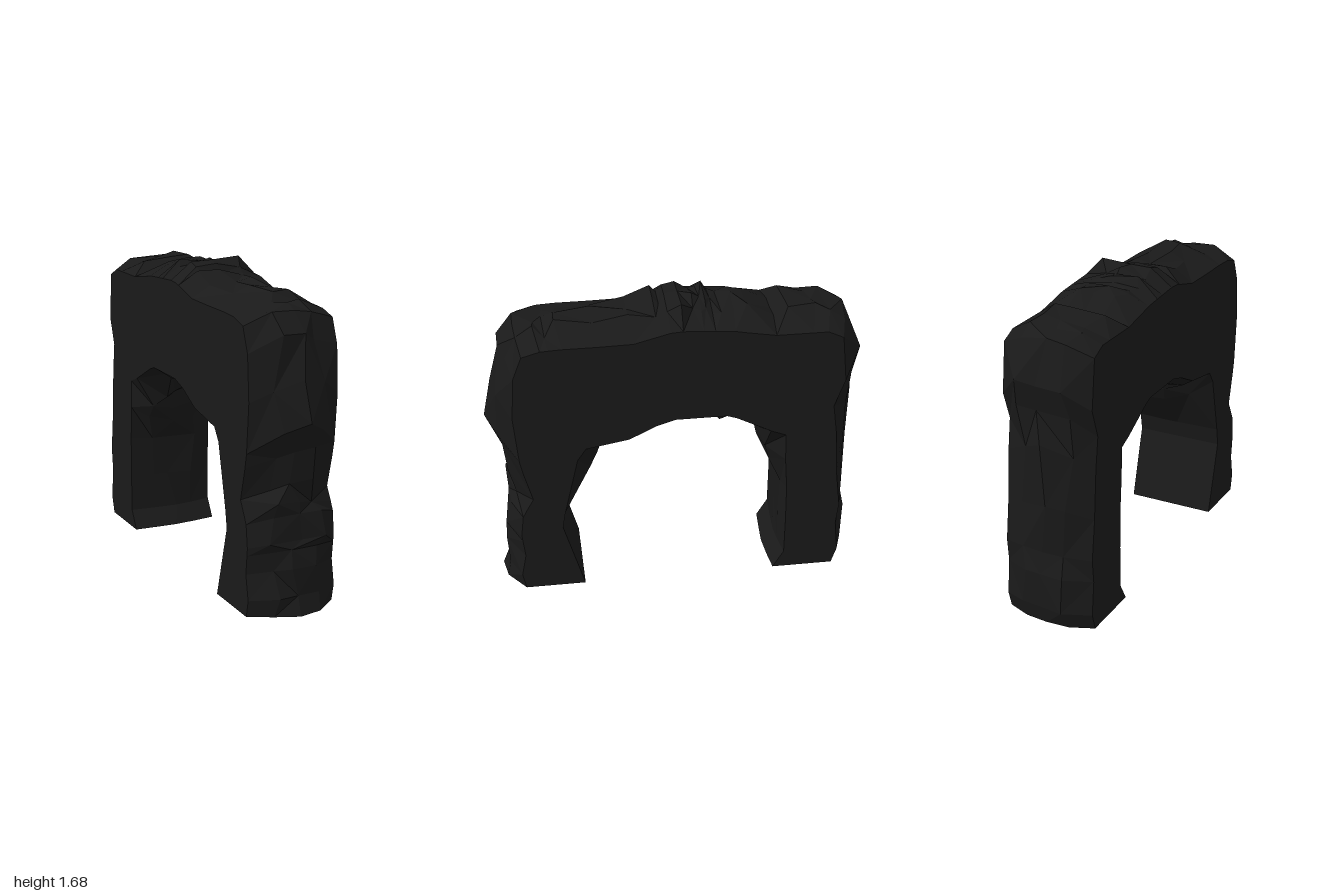
import * as THREE from 'three';

const HALF = 0.25; // half the thickness of the arch
const COLS = [-HALF, -0.125, 0, 0.125, HALF];

// Profiles as flat (z, y) pairs, running from the front foot over the top to the back foot
const OUTER_CREST = [
  0.96, 0, 0.93, 0.1, 0.93, 0.25, 0.915, 0.35, 0.925, 0.4, 0.9, 0.53, 0.91, 0.6, 0.895, 0.7, 0.915, 0.87,
  1, 1.02, 0.955, 1.23, 0.905, 1.45, 0.82, 1.55, 0.72, 1.58, 0.67, 1.565, 0.61, 1.61, 0.42, 1.61,
  0.23, 1.61, 0.09, 1.64, 0.06, 1.62, 0.03, 1.66, -0.04, 1.68, -0.11, 1.67, -0.15, 1.645, -0.18, 1.66,
  -0.21, 1.62, -0.25, 1.61, -0.32, 1.64, -0.39, 1.63, -0.53, 1.555, -0.6, 1.61, -0.75, 1.61,
  -0.82, 1.585, -0.92, 1.56, -1, 1.35, -0.96, 1.2, -1, 1.03, -1, 0.7, -0.975, 0.42, -1, 0.3, -1, 0.1, -0.96, 0];
const OUTER_EDGE = [
  0.84, 0, 0.86, 0.1, 0.83, 0.2, 0.85, 0.4, 0.83, 0.5, 0.77, 0.6, 0.81, 0.75, 0.86, 1, 0.83, 1.45,
  0.76, 1.51, 0.6, 1.52, 0.23, 1.52, 0, 1.58, -0.3, 1.56, -0.5, 1.52, -0.85, 1.52, -0.92, 1.4,
  -0.9, 1.2, -0.82, 0.99, -0.9, 0.85, -0.87, 0.7, -0.93, 0.5, -0.9, 0.2, -0.93, 0.1, -0.9, 0];
const INNER_CREST = [
  0.51, 0, 0.56, 0.2, 0.62, 0.4, 0.6, 0.5, 0.45, 0.7, 0.41, 0.78, 0.37, 0.85, 0.23, 0.89, 0.1, 1,
  0, 1.03, -0.05, 1, -0.1, 0.99, -0.2, 0.99, -0.25, 0.965, -0.31, 0.98, -0.45, 0.82, -0.49, 0.74,
  -0.53, 0.65, -0.6, 0.53, -0.6, 0.3, -0.6, 0.1, -0.54, 0];
const INNER_EDGE = [
  0.51, 0, 0.62, 0.4, 0.6, 0.52, 0.51, 0.9, 0.23, 0.95, 0.1, 1.02, 0, 1.05, -0.3, 1.05, -0.4, 0.98,
  -0.6, 0.9, -0.6, 0.76, -0.62, 0.5, -0.62, 0.1, -0.56, 0];

const toPoints = (flat) =>
  Array.from({ length: flat.length / 2 }, (_, i) => new THREE.Vector2(flat[2 * i], flat[2 * i + 1]));
const angleOf = (p) => Math.atan2(p.y, p.x);

// Point of a profile lying at a given angle about the ground centre
function atAngle(profile, angle) {
  let i = 1;
  while (i < profile.length - 1 && angleOf(profile[i]) < angle) i++;
  const a = angleOf(profile[i - 1]), b = angleOf(profile[i]);
  const t = THREE.MathUtils.clamp((angle - a) / (b - a), 0, 1);
  return profile[i - 1].clone().lerp(profile[i], t);
}

function seeded(seed) {
  return () => {
    seed = (seed * 16807) % 2147483647;
    return seed / 2147483647;
  };
}

// Rows of five points across the thickness, rising from the edge profile to the crest
function makeRows(crestFlat, edgeFlat, seed) {
  const rand = seeded(seed);
  const edge = toPoints(edgeFlat);
  return toPoints(crestFlat).map((crest, i, all) => {
    const end = i === 0 || i === all.length - 1;
    const rim = atAngle(edge, angleOf(crest));
    const peak = 1 + Math.floor(rand() * 3);
    return COLS.map((x, j) => {
      const side = j === 0 || j === COLS.length - 1;
      let rise = side ? 0 : j === 2 ? 0.75 + 0.25 * rand() : 0.45 + 0.45 * rand();
      if (j === (end ? 2 : peak)) rise = 1;
      const p = rim.clone().lerp(crest, rise);
      const shift = side || end ? 0 : (rand() - 0.5) * 0.07;
      return new THREE.Vector3(x + shift, p.y, p.x);
    });
  });
}

function fromTriangles(points) {
  const geometry = new THREE.BufferGeometry().setFromPoints(points);
  geometry.computeVertexNormals();
  return geometry;
}

// Faceted skin over rows of points, with the diagonals alternating
function skin(rows, flip) {
  const out = [];
  const tri = (a, b, c) => (flip ? out.push(a, c, b) : out.push(a, b, c));
  for (let i = 0; i < rows.length - 1; i++) {
    for (let j = 0; j < COLS.length - 1; j++) {
      const a = rows[i][j], b = rows[i][j + 1], c = rows[i + 1][j + 1], d = rows[i + 1][j];
      if ((i + j) % 2) { tri(a, b, c); tri(a, c, d); }
      else { tri(a, b, d); tri(b, c, d); }
    }
  }
  return fromTriangles(out);
}

// Flat wall bounded by one column of the outer and inner rows
function wall(outer, inner, col) {
  const loop = [...outer.map((r) => r[col]), ...inner.map((r) => r[col]).reverse()];
  const faces = THREE.ShapeUtils.triangulateShape(loop.map((p) => new THREE.Vector2(p.z, p.y)), []);
  return fromTriangles(faces.flatMap(([a, b, c]) =>
    (col === 0 ? [a, b, c] : [a, c, b]).map((k) => loop[k])));
}

export function createModel() {
  const model = new THREE.Group();
  model.name = 'rockArch';
  const stone = new THREE.MeshStandardMaterial({ color: 0x1a1a1a, flatShading: true });
  const add = (name, geometry) => {
    const mesh = new THREE.Mesh(geometry, stone);
    mesh.name = name;
    model.add(mesh);
  };

  const outer = makeRows(OUTER_CREST, OUTER_EDGE, 17);
  const inner = makeRows(INNER_CREST, INNER_EDGE, 91);

  // Rough rock on the outside and under the arch
  add('outerRock', skin(outer, false));
  add('innerRock', skin(inner, true));

  // Flat cut sides
  add('rightWall', wall(outer, inner, 0));
  add('leftWall', wall(outer, inner, COLS.length - 1));

  // Undersides of the two feet
  add('frontFootBase', skin([outer[0], inner[0]], true));
  add('backFootBase', skin([outer.at(-1), inner.at(-1)], false));
  return model;
}
